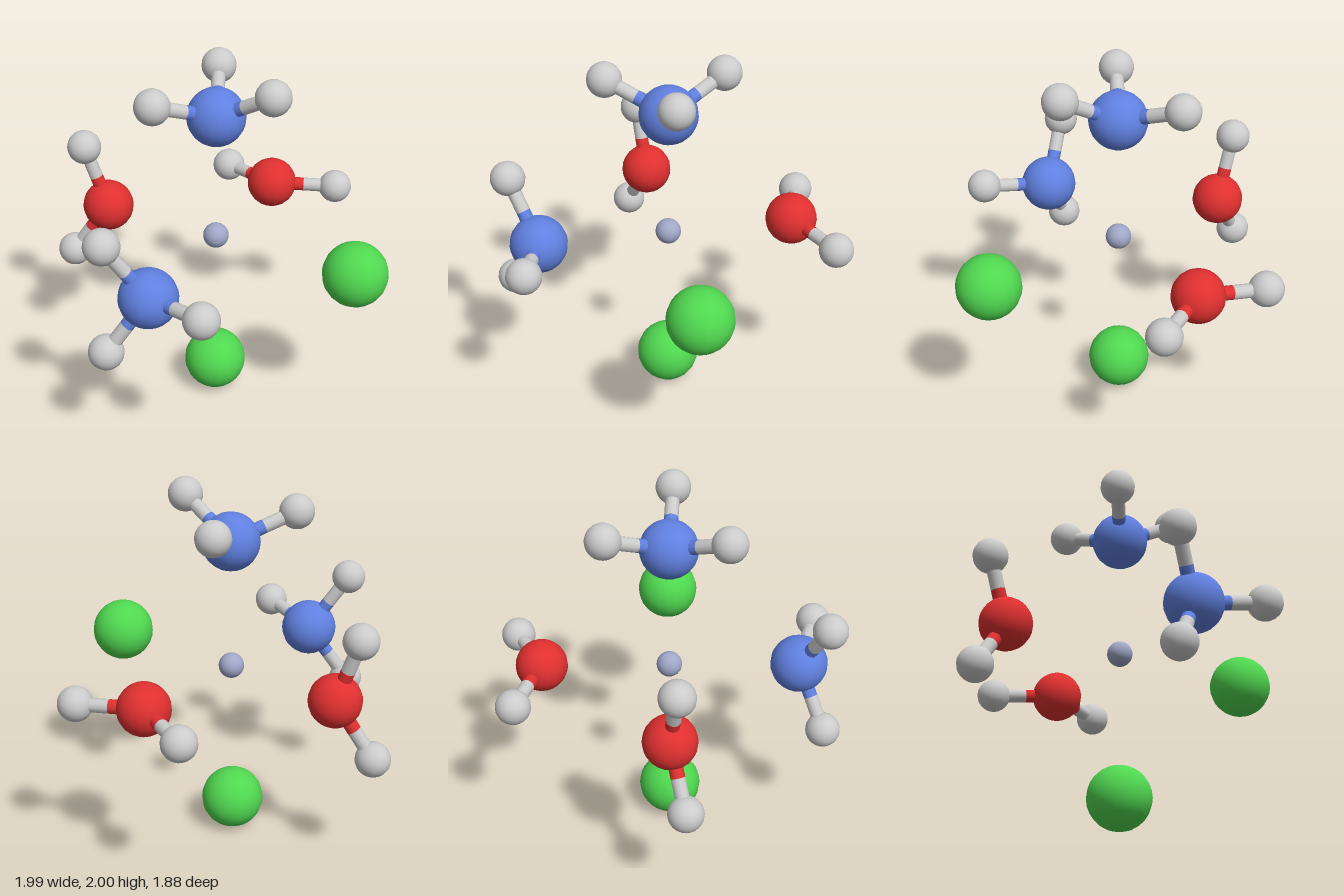
import * as THREE from 'three';

const mat = (color) => new THREE.MeshStandardMaterial({ color, flatShading: false });
const nitrogen = { name: 'nitrogen', radius: 0.157, material: mat(0x6080e0) };
const oxygen = { name: 'oxygen', radius: 0.143, material: mat(0xe03030) };
const chlorine = { name: 'chlorine', radius: 0.174, material: mat(0x50d850) };
const metal = { name: 'centralMetal', radius: 0.07, material: mat(0xa0a8c8) };
const hydrogen = { name: 'hydrogen', radius: 0.095, material: mat(0xcccccc) };
const BOND_RADIUS = 0.038;

function atom(kind, position) {
  const mesh = new THREE.Mesh(new THREE.SphereGeometry(kind.radius, 20, 14), kind.material);
  mesh.name = kind.name;
  mesh.position.copy(position);
  return mesh;
}

// One half of a bond, in the colour of the atom it starts from
function halfBond(from, to, kind) {
  const axis = to.clone().sub(from);
  const geometry = new THREE.CylinderGeometry(BOND_RADIUS, BOND_RADIUS, axis.length(), 12, 1);
  const mesh = new THREE.Mesh(geometry, kind.material);
  mesh.name = kind.name + 'HalfBond';
  mesh.position.copy(from).add(to).multiplyScalar(0.5);
  mesh.quaternion.setFromUnitVectors(new THREE.Vector3(0, 1, 0), axis.normalize());
  return mesh;
}

// A core atom with hydrogens joined to it by two-coloured bonds
function ligand(name, kind, center, hydrogens = []) {
  const group = new THREE.Group();
  group.name = name;
  const core = new THREE.Vector3(...center);
  group.add(atom(kind, core));
  for (const h of hydrogens) {
    const end = new THREE.Vector3(...h);
    const middle = core.clone().lerp(end, 0.5);
    group.add(atom(hydrogen, end), halfBond(core, middle, kind), halfBond(middle, end, hydrogen));
  }
  return group;
}

export function createModel() {
  const model = new THREE.Group();
  model.name = 'metalComplex';
  model.add(
    ligand('centre', metal, [-0.005, 1.005, 0.005]),
    // Ammonia above and in front
    ligand('topAmmonia', nitrogen, [-0.003, 1.717, 0.003],
      [[0.335, 1.906, 0.03], [-0.165, 1.85, -0.33], [-0.207, 1.85, 0.305]]),
    ligand('frontAmmonia', nitrogen, [-0.01, 1.007, 0.715],
      [[-0.19, 1.326, 0.845], [-0.195, 0.692, 0.845], [0.358, 1.058, 0.828]]),
    // Water at the right and the back
    ligand('rightWater', oxygen, [-0.703, 1.007, 0.0],
      [[-0.825, 1.36, 0.032], [-0.9, 0.7, 0.077]]),
    ligand('backWater', oxygen, [-0.005, 1.003, -0.693],
      [[-0.357, 0.976, -0.82], [0.333, 0.987, -0.85]]),
    // Chloride at the left and below
    ligand('leftChloride', chlorine, [0.818, 1.0, 0.005]),
    ligand('bottomChloride', chlorine, [-0.01, 0.177, 0.008]),
  );
  return model;
}
